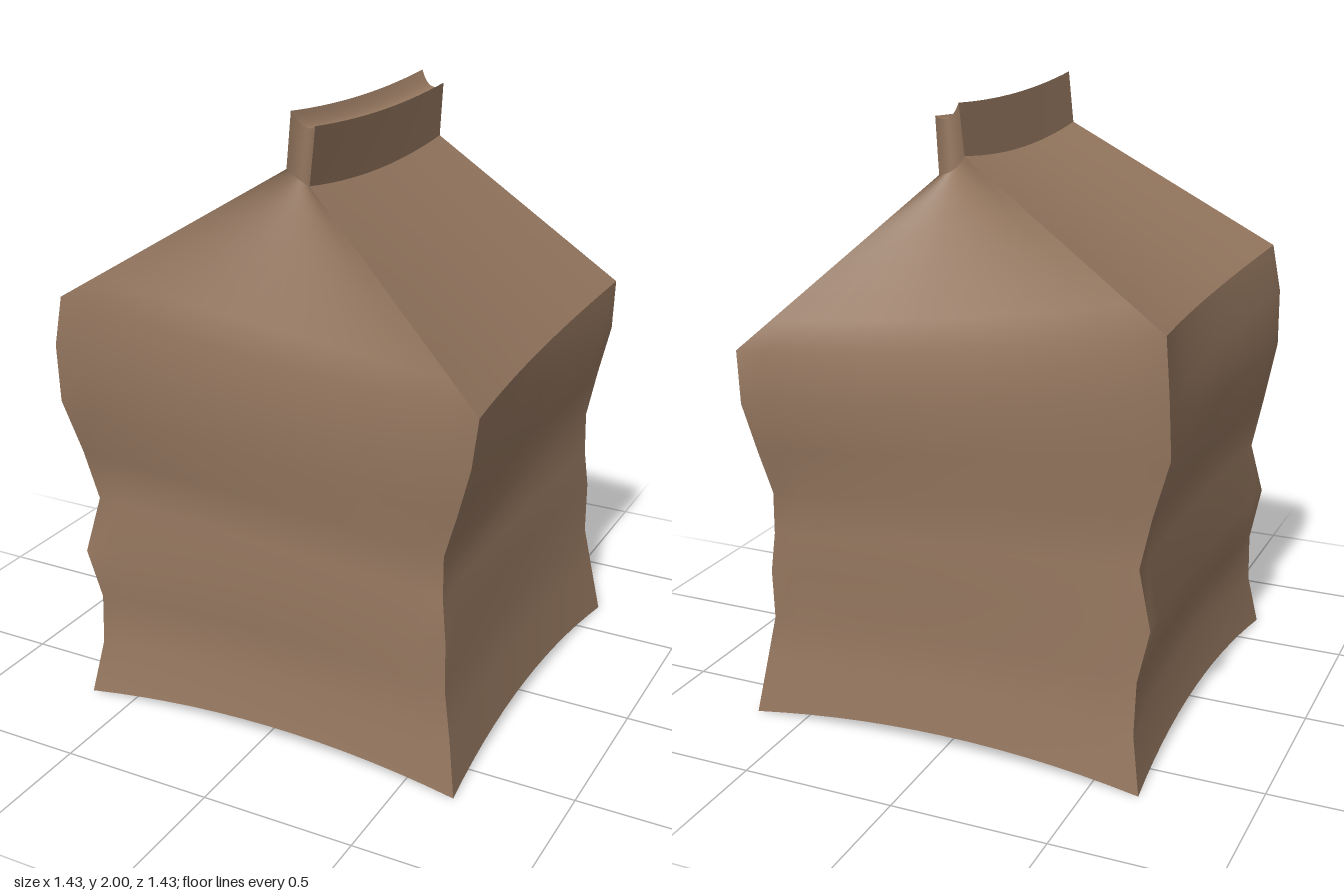
import * as THREE from 'three';
import { mergeGeometries, mergeVertices } from 'three/addons/utils/BufferGeometryUtils.js';

const N = 14; // segments along each side
const V = (x, y, z) => new THREE.Vector3(x, y, z);

// A ring has four corners: front right-hand side (-x), front left (+x), back left, back right.
// bow pulls the middle of each edge inward, sag moves it up or down: [front/back, sides].
const ring = (corners, bow, sag) => ({ corners: corners.map(p => V(...p)), bow, sag });

// Points along one side of a ring: 0 front, 1 left (+x), 2 back, 3 right (-x)
function edge(r, i) {
  const a = r.corners[i], b = r.corners[(i + 1) % 4], k = i % 2;
  const inward = V(b.z - a.z, 0, a.x - b.x).normalize();
  return Array.from({ length: N + 1 }, (_, j) => {
    const s = j / N, h = 4 * s * (1 - s);
    const p = a.clone().lerp(b, s).addScaledVector(inward, r.bow[k] * h);
    p.y += r.sag[k] * h;
    return p;
  });
}

// Rows of points lerped between two rows
function blend(from, to, steps) {
  return Array.from({ length: steps + 1 }, (_, k) =>
    from.map((p, j) => p.clone().lerp(to[j], k / steps)));
}

// Smooth surface through rows of points
function grid(rows) {
  const w = rows[0].length, index = [];
  for (let r = 0; r < rows.length - 1; r++) {
    for (let c = 0; c < w - 1; c++) {
      const a = r * w + c, d = a + w;
      index.push(a, a + 1, d + 1, a, d + 1, d);
    }
  }
  const g = new THREE.BufferGeometry().setFromPoints(rows.flat());
  g.setIndex(index);
  g.computeVertexNormals();
  return g;
}

export function createModel() {
  const group = new THREE.Group();
  const paper = new THREE.MeshStandardMaterial({ color: 0x967860 });
  const add = (name, geometry) => {
    const mesh = new THREE.Mesh(geometry, paper);
    mesh.name = name;
    group.add(mesh);
  };

  // Crumpled wall corners, bottom to shoulder: [height, x, z]
  const frontRight = [[0, -.655, .665], [.18, -.625, .63], [.345, -.625, .62], [.52, -.655, .65], [.7, -.62, .61],
    [.87, -.65, .64], [1.06, -.675, .7], [1.25, -.67, .715], [1.41, -.64, .712]];
  const backRight = [[0, -.655, -.665], [.18, -.625, -.635], [.345, -.625, -.615], [.52, -.665, -.62], [.7, -.62, -.6],
    [.87, -.66, -.61], [1.06, -.72, -.64], [1.25, -.715, -.655], [1.42, -.7, -.65]];
  const frontLeft = [[0, .67, .66], [.18, .64, .63], [.33, .615, .615], [.5, .615, .62], [.63, .595, .6],
    [.77, .595, .6], [.92, .645, .625], [1.08, .69, .64], [1.24, .712, .645]];
  const backLeft = [[0, .67, -.665], [.18, .64, -.64], [.33, .615, -.62], [.5, .61, -.635], [.63, .595, -.63],
    [.77, .59, -.635], [.92, .61, -.68], [1.08, .64, -.712], [1.25, .645, -.715]];
  const bows = [.03, .025, .02, .015, .012, .015, .025, .035, .045];
  const walls = bows.map((b, k) => {
    const sag = .04 - .07 * k / 8;
    const at = c => [c[k][1], c[k][0], c[k][2]];
    return ring([frontRight, frontLeft, backLeft, backRight].map(at), [b, b], [sag, sag]);
  });
  const shoulder = walls[8];

  // Pinched neck and the top of the folded fin
  const neck = ring([[.03, 1.83, .495], [.1, 1.785, .485], [.11, 1.77, -.39], [.03, 1.83, -.38]],
    [.022, 0], [-.015, -.03]);
  const finTop = ring([[.05, 2, .5], [.12, 1.96, .485], [.12, 1.945, -.39], [.05, 1.985, -.375]],
    [.022, 0], [-.028, -.02]);

  const sides = ['front', 'left', 'back', 'right'];
  sides.forEach((side, i) => {
    const wallRows = walls.map(r => edge(r, i));
    const roofRows = blend(edge(shoulder, i), edge(neck, i), 6);
    if (i % 2 === 0) {
      // Front and back run softly into their gables
      add(side + 'WallAndGable', grid([...wallRows, ...roofRows.slice(1)]));
    } else {
      add(side + 'Wall', grid(wallRows));
      add(side + 'RoofPanel', grid(roofRows));
    }
    add(side + 'FinPanel', grid(blend(edge(neck, i), edge(finTop, i), 3)));
  });

  // Gutter along the top of the fin
  const gutter = blend(edge(finTop, 0), edge(finTop, 2).reverse(), N);
  gutter.forEach((row, k) => {
    const t = k / N;
    row.forEach(p => { p.y += finTop.sag[1] * 4 * t * (1 - t); });
  });
  add('finGutter', grid(gutter));

  // Base, pushed up in the middle
  const centre = Array.from({ length: N + 1 }, () => V(0, .06, 0));
  const quarters = sides.map((_, i) => grid(blend(centre, edge(walls[0], i), 5)).deleteAttribute('normal'));
  const base = mergeVertices(mergeGeometries(quarters), 1e-4);
  base.computeVertexNormals();
  add('base', base);

  return group;
}
